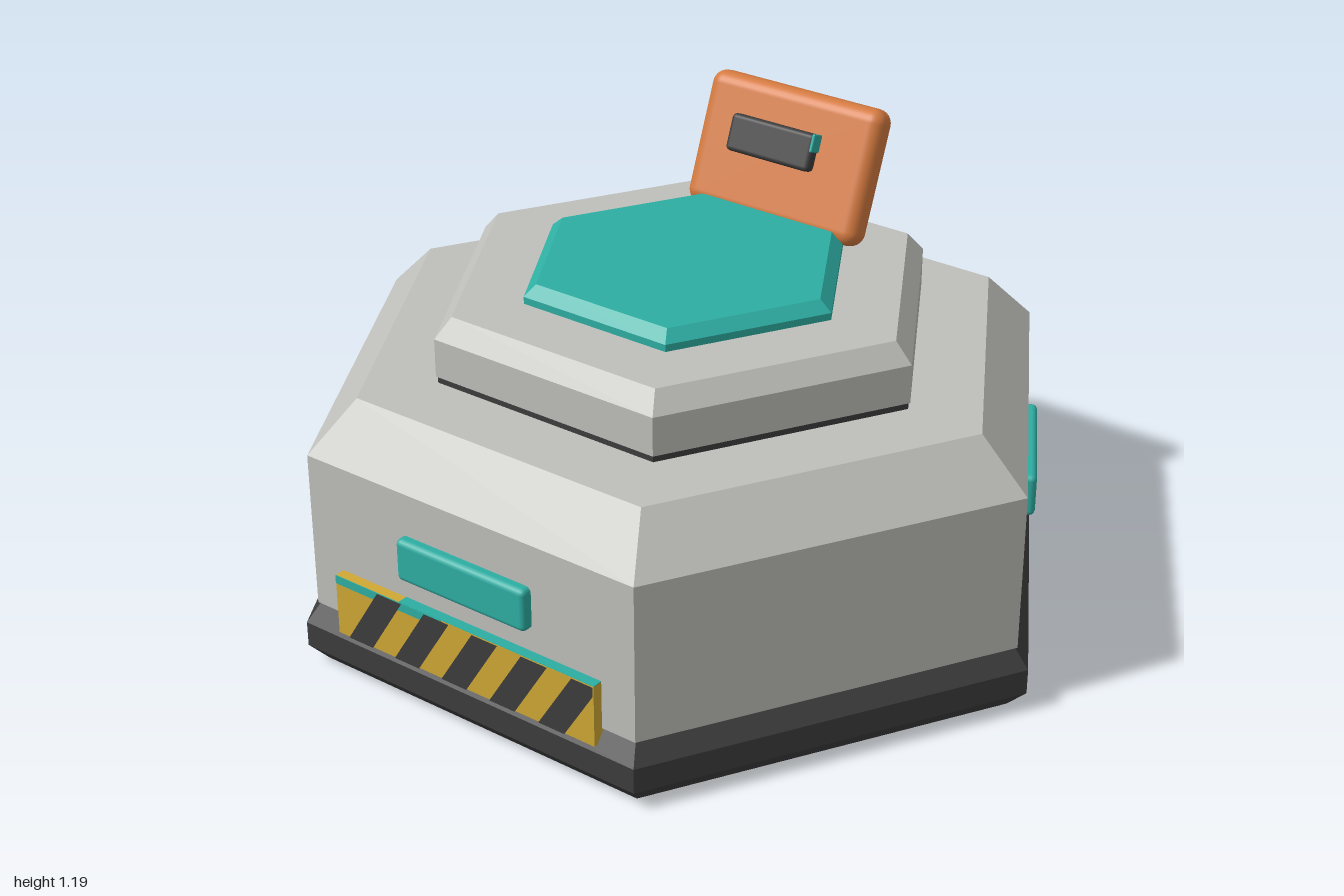
import * as THREE from 'three';
import { RoundedBoxGeometry } from 'three/addons/geometries/RoundedBoxGeometry.js';

const material = (name, color) => {
  const m = new THREE.MeshStandardMaterial({ color });
  m.name = name;
  return m;
};

export function createModel() {
  const model = new THREE.Group();
  model.name = 'hexagonalDevice';
  const grey = material('lightGrey', 0xbfc0bb);
  const dark = material('charcoal', 0x3d3d3e);
  const teal = material('teal', 0x2eaea3);
  const orange = material('orange', 0xd47a40);
  const yellow = material('hazardYellow', 0xd0a835);

  const add = (parent, name, geometry, mat, x = 0, y = 0, z = 0) => {
    const mesh = new THREE.Mesh(geometry, mat);
    mesh.name = name;
    mesh.position.set(x, y, z);
    parent.add(mesh);
    return mesh;
  };

  // Faceted six-sided solid from [radius, height] pairs, bottom to top
  const hexSolid = (name, mat, profile) => {
    const points = profile.map(([r, y]) => new THREE.Vector2(r, y));
    const geometry = new THREE.LatheGeometry(points, 6, Math.PI / 6).toNonIndexed();
    geometry.computeVertexNormals();
    return add(model, name, geometry, mat);
  };

  // Stacked hexagonal tiers
  hexSolid('base', dark, [[0, 0], [0.95, 0], [1, 0.05], [1, 0.115], [0.955, 0.17], [0, 0.17]]);
  hexSolid('body', grey, [[0, 0.165], [0.968, 0.165], [0.968, 0.57], [0.84, 0.695], [0, 0.695]]);
  hexSolid('gasket', dark, [[0, 0.69], [0.64, 0.69], [0.64, 0.715], [0, 0.715]]);
  hexSolid('upperTier', grey, [[0, 0.712], [0.645, 0.712], [0.645, 0.81], [0.6, 0.86], [0, 0.86]]);
  hexSolid('topPad', teal, [[0, 0.855], [0.42, 0.855], [0.42, 0.878], [0.388, 0.905], [0, 0.905]]);

  // Light panels on every second side
  for (let i = 0; i < 3; i++) {
    const side = new THREE.Group();
    side.name = 'lightPanelSide';
    side.rotation.y = (i * Math.PI * 2) / 3;
    add(side, 'lightPanel', new RoundedBoxGeometry(0.385, 0.11, 0.05, 2, 0.014), teal, 0, 0.405, 0.841);
    model.add(side);
  }

  // Hazard plate with slanted stripes
  const half = 0.39, bottom = 0.13, top = 0.29, front = 0.866;
  add(model, 'hazardPlate', new THREE.BoxGeometry(half * 2, top - bottom, 0.04), yellow, 0, 0.21, front - 0.02);
  add(model, 'hazardTrim', new THREE.BoxGeometry(0.33, 0.022, 0.002), teal, -0.225, 0.279, front);
  add(model, 'hazardTopTrim', new THREE.BoxGeometry(0.58, 0.002, 0.038), teal, 0.1, top, front - 0.02);
  for (let i = 0; i < 5; i++) {
    const x = -0.355 + i * 0.146, w = 0.076, lean = 0.1;
    const stripe = new THREE.Shape();
    stripe.moveTo(x, bottom);
    stripe.lineTo(x + w, bottom);
    const over = x + w + lean - half;
    if (over > 0) {
      stripe.lineTo(half, top - (over / lean) * (top - bottom));
      stripe.lineTo(half, top);
    } else {
      stripe.lineTo(x + w + lean, top);
    }
    stripe.lineTo(x + lean, top);
    add(model, 'hazardStripe', new THREE.ShapeGeometry(stripe), dark, 0, 0, front + 0.003);
  }

  // Tilted rear flap with its floating handle
  const flap = new THREE.Group();
  flap.name = 'rearFlap';
  flap.position.set(0, 1.025, -0.422);
  flap.rotation.x = -0.37;
  add(flap, 'flapPlate', new RoundedBoxGeometry(0.515, 0.346, 0.085, 4, 0.036), orange);
  add(flap, 'flapHandle', new RoundedBoxGeometry(0.25, 0.095, 0.036, 2, 0.012), dark, -0.003, 0.032, 0.082);
  add(flap, 'handleEndLight', new RoundedBoxGeometry(0.009, 0.046, 0.037, 2, 0.004), teal, 0.119, 0.057, 0.082);
  model.add(flap);

  return model;
}
